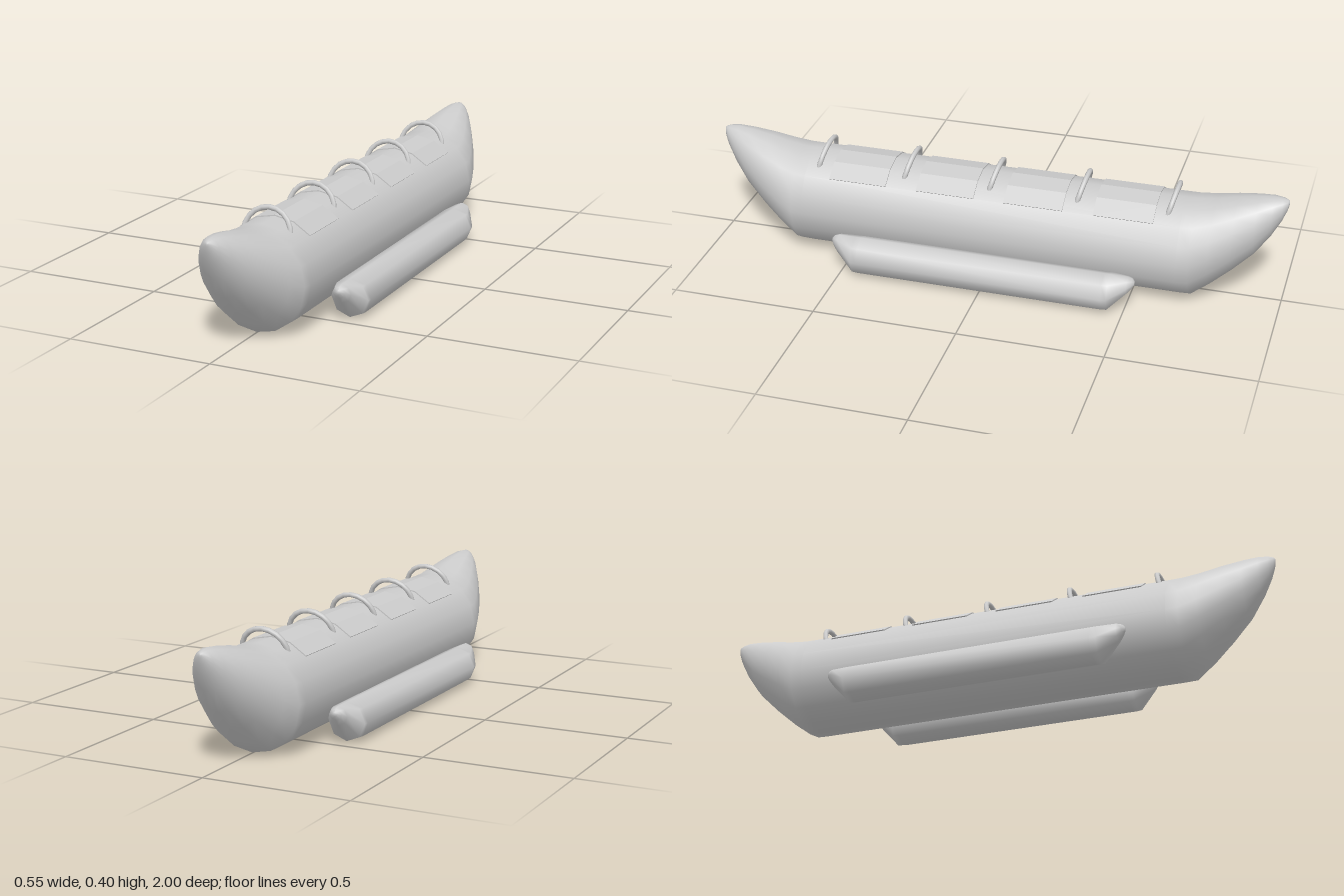
import * as THREE from 'three';

const material = new THREE.MeshStandardMaterial({ color: 0xcccccc });

function addMesh(parent, geometry, name) {
  const mesh = new THREE.Mesh(geometry, material);
  mesh.name = name;
  parent.add(mesh);
  return mesh;
}

// Skin over elliptical rings [z, bottom, top, halfWidth], ordered from back to front
function loft(rings, sides) {
  const pos = [], index = [];
  for (const [z, bottom, top, w] of rings) {
    for (let i = 0; i < sides; i++) {
      const a = (i / sides) * Math.PI * 2;
      pos.push(w * Math.cos(a), (top + bottom) / 2 + ((top - bottom) / 2) * Math.sin(a), z);
    }
  }
  for (let r = 0; r < rings.length - 1; r++) {
    for (let i = 0; i < sides; i++) {
      const j = (i + 1) % sides;
      const a = r * sides + i, b = r * sides + j;
      index.push(a, b, b + sides, a, b + sides, a + sides);
    }
  }
  // Close both ends with a fan
  for (const r of [0, rings.length - 1]) {
    const [z, bottom, top] = rings[r];
    const c = pos.length / 3;
    pos.push(0, (top + bottom) / 2, z);
    for (let i = 0; i < sides; i++) {
      const a = r * sides + i, b = r * sides + ((i + 1) % sides);
      if (r === 0) index.push(c, b, a);
      else index.push(c, a, b);
    }
  }
  const geometry = new THREE.BufferGeometry();
  geometry.setAttribute('position', new THREE.Float32BufferAttribute(pos, 3));
  geometry.setIndex(index);
  geometry.computeVertexNormals();
  return geometry;
}

// Mirror the front half of the rings to the back
const bothEnds = (half) => [
  ...half.map(([z, ...rest]) => [-z, ...rest]).reverse(),
  ...half,
];

export function createModel() {
  const group = new THREE.Group();
  const hullY = 0.177, hullR = 0.174;

  // Main tube with upswept pointed ends
  addMesh(group, loft(bothEnds([
    [0.66, 0.003, 0.351, hullR],
    [0.70, 0.004, 0.352, 0.172],
    [0.76, 0.050, 0.361, 0.153],
    [0.83, 0.112, 0.377, 0.124],
    [0.90, 0.182, 0.390, 0.089],
    [0.95, 0.255, 0.396, 0.058],
    [0.98, 0.312, 0.394, 0.034],
    [0.995, 0.350, 0.390, 0.016],
    [1.00, 0.372, 0.385, 0.005],
  ]), 16), 'hull');

  // Side floats with raised blunt ends
  for (const side of [1, -1]) {
    const float = addMesh(group, loft(bothEnds([
      [0.43, 0.002, 0.135, 0.067],
      [0.45, 0.004, 0.135, 0.066],
      [0.51, 0.072, 0.135, 0.033],
      [0.525, 0.092, 0.130, 0.020],
      [0.533, 0.106, 0.120, 0.007],
    ]), 8), side > 0 ? 'leftFloat' : 'rightFloat');
    float.position.x = side * 0.207;
  }

  // Thin seat pads curved over the top of the hull
  const pad = new THREE.Shape();
  const arc = [0, 1, 2, 3, 4].map((i) => Math.PI / 4 + (i * Math.PI) / 8);
  const at = (r, a) => new THREE.Vector2(r * Math.cos(a), r * Math.sin(a));
  pad.setFromPoints([
    ...arc.map((a) => at(0.178, a)),
    ...arc.slice().reverse().map((a) => at(0.168, a)),
  ]);
  const padGeometry = new THREE.ExtrudeGeometry(pad, { depth: 0.204, bevelEnabled: false });
  padGeometry.translate(0, hullY, -0.102);
  for (const z of [-0.468, -0.158, 0.152, 0.466]) {
    addMesh(group, padGeometry, 'seatPad').position.z = z;
  }

  // Arched grab handles, leaning back
  const handleGeometry = new THREE.TorusGeometry(0.084, 0.009, 8, 10, Math.PI);
  for (const z of [0.624, 0.312, 0.008, -0.298, -0.608]) {
    const handle = addMesh(group, handleGeometry, 'handle');
    handle.position.set(0, 0.309, z);
    handle.rotation.x = -0.27;
  }
  return group;
}
